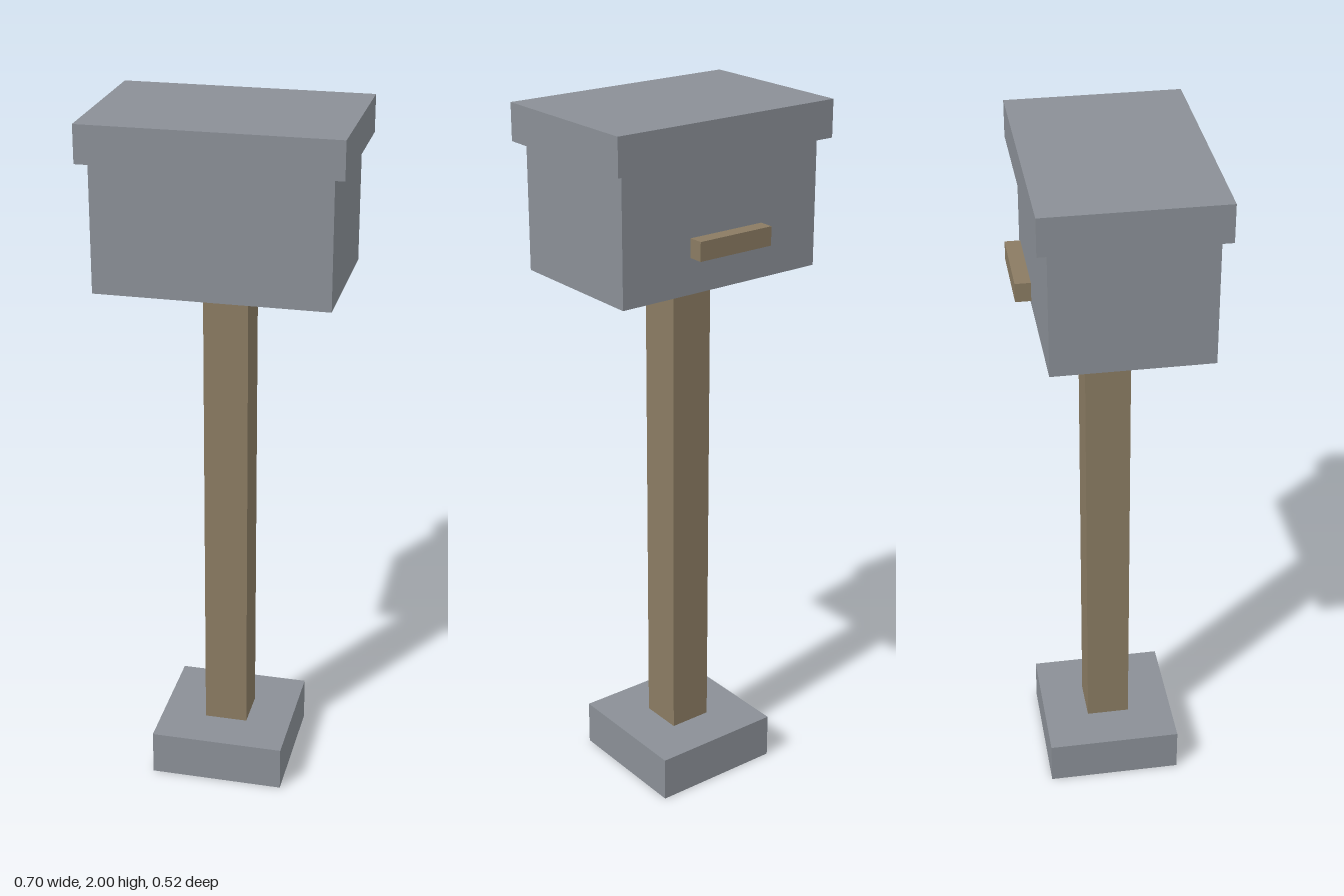
import * as THREE from 'three';

export function createModel() {
  const group = new THREE.Group();
  const metal = new THREE.MeshStandardMaterial({ color: 0x8a8f96 });
  metal.name = 'grey metal';
  const wood = new THREE.MeshStandardMaterial({ color: 0x8a7b62 });
  wood.name = 'brown wood';

  // Box centred on x, spanning y0..y1 and z0..z1
  function block(name, material, width, y0, y1, z0, z1) {
    const mesh = new THREE.Mesh(new THREE.BoxGeometry(width, y1 - y0, z1 - z0), material);
    mesh.position.set(0, (y0 + y1) / 2, (z0 + z1) / 2);
    mesh.name = name;
    group.add(mesh);
  }

  // Foot and post
  block('base', metal, 0.39, 0, 0.132, -0.202, 0.188);
  block('post', wood, 0.126, 0.132, 1.54, -0.07, 0.056);

  // Box with overhanging lid
  block('boxBody', metal, 0.643, 1.54, 1.896, -0.198, 0.234);
  block('lid', metal, 0.702, 1.896, 2, -0.226, 0.258);

  // Handle standing just clear of the back face
  block('handle', wood, 0.236, 1.647, 1.7, -0.258, -0.216);

  return group;
}
